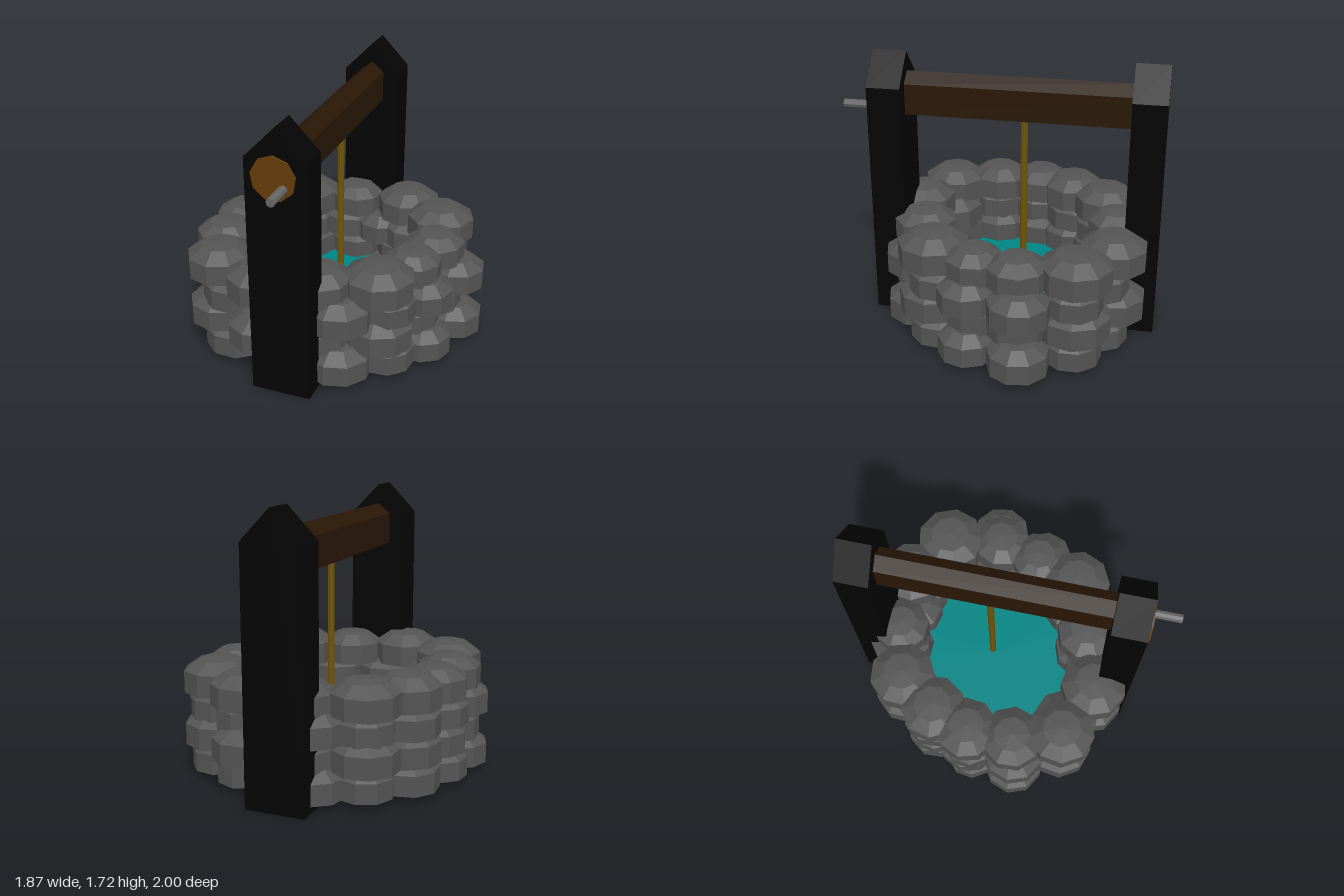
import * as THREE from 'three';

const mat = (color) => new THREE.MeshStandardMaterial({ color, flatShading: true });
const STONE = mat(0x545454), POST = mat(0x040404), BEAM = mat(0x291706);
const HUB = mat(0x643c0a), ROPE = mat(0x6e5408), METAL = mat(0x666666), WATER = mat(0x008484);

// Stones of a course as [x, z, radius]; two courses alternate
const COURSE_A = [
  [0.75, -0.23, 0.19], [0.64, 0.1, 0.18], [0.46, 0.31, 0.185], [0.22, 0.5, 0.21],
  [-0.11, 0.58, 0.2], [-0.48, 0.45, 0.21], [-0.74, 0.16, 0.195], [-0.72, -0.13, 0.17],
  [-0.61, -0.4, 0.19], [-0.42, -0.61, 0.18], [-0.15, -0.73, 0.2], [0.1, -0.68, 0.17],
  [0.32, -0.66, 0.185], [0.57, -0.53, 0.18],
];
const COURSE_B = [
  [0.275, -0.735, 0.21], [0.56, -0.54, 0.22], [0.62, -0.2, 0.185], [0.55, 0.07, 0.18],
  [0.425, 0.35, 0.22], [0.1, 0.48, 0.195], [-0.25, 0.585, 0.21], [-0.59, 0.44, 0.21],
  [-0.69, 0.14, 0.195], [-0.69, -0.15, 0.195], [-0.6, -0.39, 0.205], [-0.43, -0.63, 0.21],
  [-0.1, -0.72, 0.18],
];

// Unit boulder: straight sides, faceted domed top, flat underside
const stoneGeo = new THREE.LatheGeometry(
  [[0, 0], [1, 0], [1, 0.65], [0.58, 0.95], [0, 1]].map(([r, y]) => new THREE.Vector2(r, y)), 9);

function cylinder(name, radius, from, to, sides, material) {
  const a = new THREE.Vector3(...from), b = new THREE.Vector3(...to);
  const mesh = new THREE.Mesh(new THREE.CylinderGeometry(radius, radius, a.distanceTo(b), sides), material);
  mesh.name = name;
  mesh.position.copy(a).lerp(b, 0.5);
  mesh.quaternion.setFromUnitVectors(new THREE.Vector3(0, 1, 0), b.sub(a).normalize());
  return mesh;
}

// Extrudes an outline of [x, y] points along z
function extrude(name, points, z0, z1, material) {
  const shape = new THREE.Shape(points.map(([x, y]) => new THREE.Vector2(x, y)));
  const geo = new THREE.ExtrudeGeometry(shape, { depth: z1 - z0, bevelEnabled: false });
  const mesh = new THREE.Mesh(geo, material);
  mesh.name = name;
  mesh.position.z = z0;
  return mesh;
}

export function createModel() {
  const well = new THREE.Group();
  well.name = 'well';

  // Four courses of stones around the shaft
  const wall = new THREE.Group();
  wall.name = 'stoneWall';
  for (let i = 0; i < 4; i++) {
    (i % 2 ? COURSE_B : COURSE_A).forEach(([x, z, r], k) => {
      const stone = new THREE.Mesh(stoneGeo, STONE);
      stone.name = 'stone';
      stone.position.set(x, 0.04 + i * 0.165, z);
      stone.scale.set(r, 0.1 + r / 2, r);
      stone.rotation.y = k * 0.9;
      wall.add(stone);
    });
  }
  well.add(wall);

  // Water disc
  const water = new THREE.Mesh(new THREE.CylinderGeometry(0.63, 0.63, 0.02, 24), WATER);
  water.name = 'water';
  water.position.set(0, 0.203, -0.07);
  well.add(water);

  // Two posts with pointed tops
  const post = [[-0.215, 0], [0.155, 0], [0.155, 1.525], [-0.03, 1.715], [-0.215, 1.525]];
  well.add(extrude('frontPost', post, 0.605, 0.815, POST));
  well.add(extrude('backPost', post, -1, -0.79, POST));

  // Ridged beam with a flat underside between the posts
  const beam = [[-0.11, 1.33], [0.05, 1.33], [0.05, 1.525], [-0.03, 1.59], [-0.11, 1.525]];
  well.add(extrude('beam', beam, -0.85, 0.65, BEAM));

  // Crank hub, handle and rope
  const hub = Array.from({ length: 9 }, (_, i) => {
    const a = Math.PI / 2 + (i / 9) * Math.PI * 2;
    return [-0.038 + 0.136 * Math.cos(a), 1.424 + 0.136 * Math.sin(a)];
  });
  well.add(extrude('crankHub', hub, 0.8, 0.83, HUB));
  well.add(cylinder('crankHandle', 0.027, [0.025, 1.373, 0.81], [0.025, 1.373, 1], 8, METAL));
  well.add(cylinder('rope', 0.022, [-0.005, 0.2, -0.135], [-0.005, 1.36, -0.135], 8, ROPE));
  return well;
}
